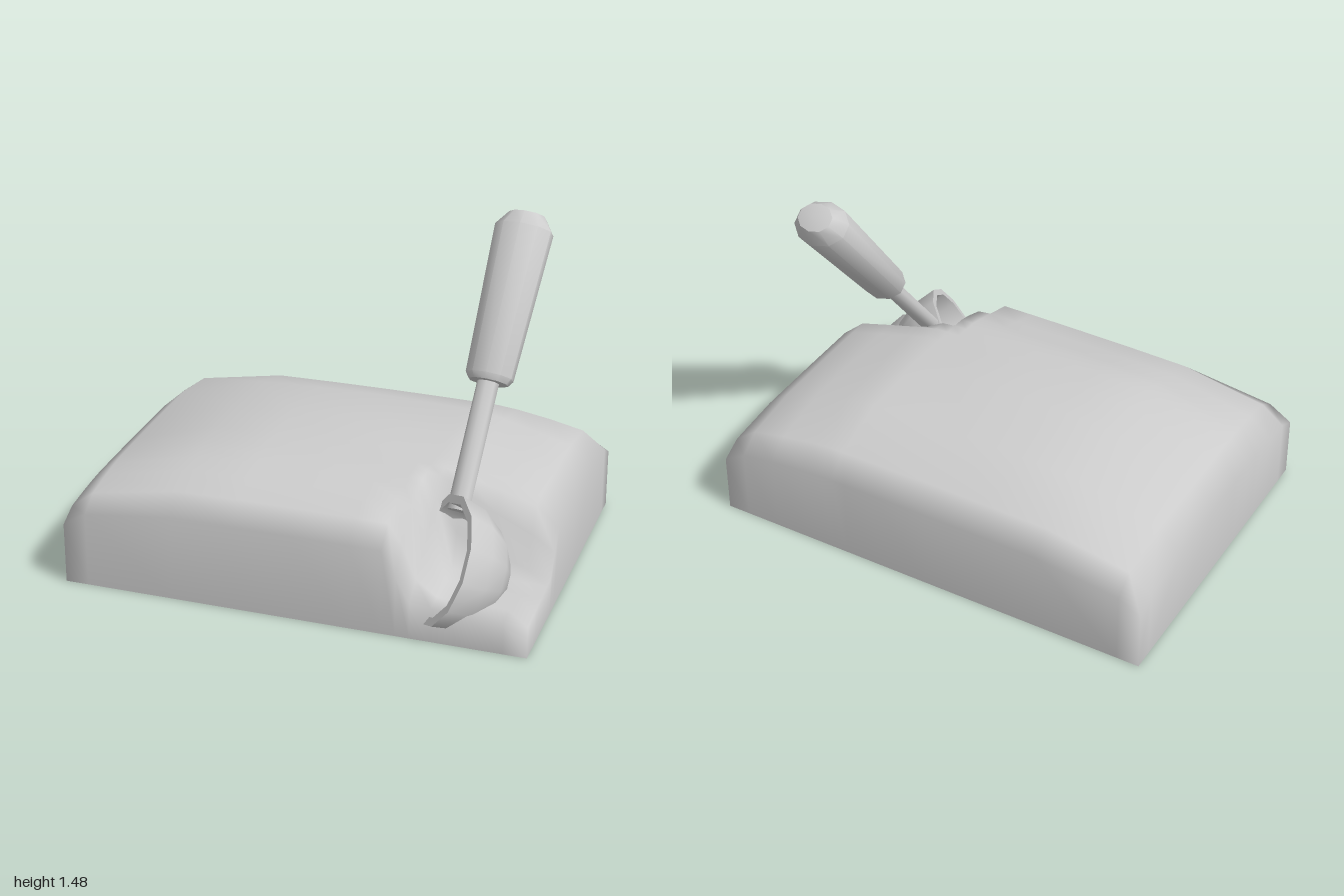
import * as THREE from 'three';
import { mergeVertices, toCreasedNormals } from 'three/addons/utils/BufferGeometryUtils.js';

const { clamp, lerp } = THREE.MathUtils;

// Piecewise-linear lookup in a list of [position, value]
function sample(points, t) {
  for (let i = 1; i < points.length; i++) {
    const [a, va] = points[i - 1], [b, vb] = points[i];
    if (t <= b) return lerp(va, vb, clamp((t - a) / (b - a), 0, 1));
  }
  return points[points.length - 1][1];
}

// Domed slab, falling away towards its edges, with a scooped-out corner
const dropX = [[0, 0], [0.52, 0.035], [0.9, 0.15], [1, 0.24]];
const dropZ = [[-0.76, 0.21], [-0.67, 0.12], [-0.42, 0.035], [-0.09, 0],
  [0.3, 0.035], [0.58, 0.12], [0.67, 0.2]];

function moundHeight(x, z) {
  const dome = 0.58 - Math.hypot(sample(dropX, Math.abs(x)), sample(dropZ, z));
  const fromLeft = (x - (0.56 - 0.25 * z)) / 0.12;
  const fromBack = (z - (0.3 - 0.12 * x)) / 0.12;
  const dig = clamp(Math.min(fromLeft, fromBack), 0, 1);
  const floor = 0.217 - 0.03 * x - 0.07 * z;
  return lerp(dome, Math.min(dome, floor), dig);
}

function moundGeometry() {
  // The first and last lines repeat the border and drop to the ground as walls
  const xs = [-1, -1, -0.9, -0.52, -0.25, 0, 0.25, 0.39, 0.45, 0.51, 0.6, 0.75, 0.9, 1, 1];
  const zs = [-0.76, -0.76, -0.67, -0.42, -0.09, 0.1, 0.18, 0.24, 0.3, 0.36, 0.45, 0.58, 0.67, 0.67];
  const positions = [], index = [], nz = zs.length;
  xs.forEach((x, i) => zs.forEach((z, j) => {
    const ground = i === 0 || j === 0 || i === xs.length - 1 || j === nz - 1;
    positions.push(x, ground ? 0 : moundHeight(x, z), z);
    if (i < xs.length - 1 && j < nz - 1) {
      const a = i * nz + j, b = a + 1, d = a + nz, c = d + 1;
      index.push(a, b, c, a, c, d);
    }
  }));
  let geo = new THREE.BufferGeometry();
  geo.setAttribute('position', new THREE.Float32BufferAttribute(positions, 3));
  geo.setIndex(index);
  geo = mergeVertices(geo);
  geo.computeVertexNormals();
  return geo;
}

function lathe(points, segments, crease) {
  const geo = new THREE.LatheGeometry(points.map(([r, y]) => new THREE.Vector2(r, y)), segments);
  return toCreasedNormals(geo, crease);
}

export function createModel() {
  const model = new THREE.Group();
  model.name = 'moundWithScoop';
  const material = new THREE.MeshStandardMaterial({ color: 0xcccccc, side: THREE.DoubleSide });
  material.name = 'lightGrey';

  const add = (name, geo, parent = model) => {
    const mesh = new THREE.Mesh(geo, material);
    mesh.name = name;
    parent.add(mesh);
    return mesh;
  };

  add('mound', moundGeometry());

  // Scoop bowl: thick half ellipsoid, opening to the side, up and forward
  const profile = [];
  for (let i = 0; i <= 4; i++) {
    const a = (i / 4) * Math.PI / 2;
    profile.push([Math.sin(a), -Math.cos(a)]);
  }
  for (let i = 4; i >= 0; i--) {
    const a = (i / 4) * Math.PI / 2;
    profile.push([0.87 * Math.sin(a), -0.87 * Math.cos(a)]);
  }
  const bowl = lathe(profile, 12, 0.9);
  const open = new THREE.Vector3(-0.72, 0.47, 0.52).normalize();
  const long = new THREE.Vector3(0.09, -0.67, 0.74);
  long.addScaledVector(open, -long.dot(open)).normalize();
  const wide = new THREE.Vector3().crossVectors(long, open);
  bowl.applyMatrix4(new THREE.Matrix4()
    .makeBasis(long.multiplyScalar(0.285), open.multiplyScalar(0.31), wide.multiplyScalar(0.22))
    .setPosition(0.59, 0.29, 0.505));
  add('scoopBowl', bowl);

  // Shaft and grip share one tilted axis and a slightly flattened section
  const handle = new THREE.Group();
  handle.name = 'scoopHandle';
  const axis = new THREE.Vector3(0.045, 0.79, -0.61).normalize();
  const side = new THREE.Vector3(1, 0, 0).addScaledVector(axis, -axis.x).normalize();
  const depth = new THREE.Vector3().crossVectors(side, axis);
  handle.quaternion.setFromRotationMatrix(new THREE.Matrix4().makeBasis(side, axis, depth));
  handle.position.set(0.6, 0.312, 0.404);
  model.add(handle);

  const flatten = geo => geo.scale(1, 1, 0.78);
  add('shaft', flatten(lathe([[0, 0.14], [0.047, 0.14], [0.047, 0.72]], 8, 0.9)), handle);
  add('grip', flatten(lathe([[0, 0.69], [0.085, 0.69], [0.103, 0.715], [0.127, 1.36],
    [0.08, 1.425], [0, 1.44]], 10, 0.75)), handle);

  return model;
}
